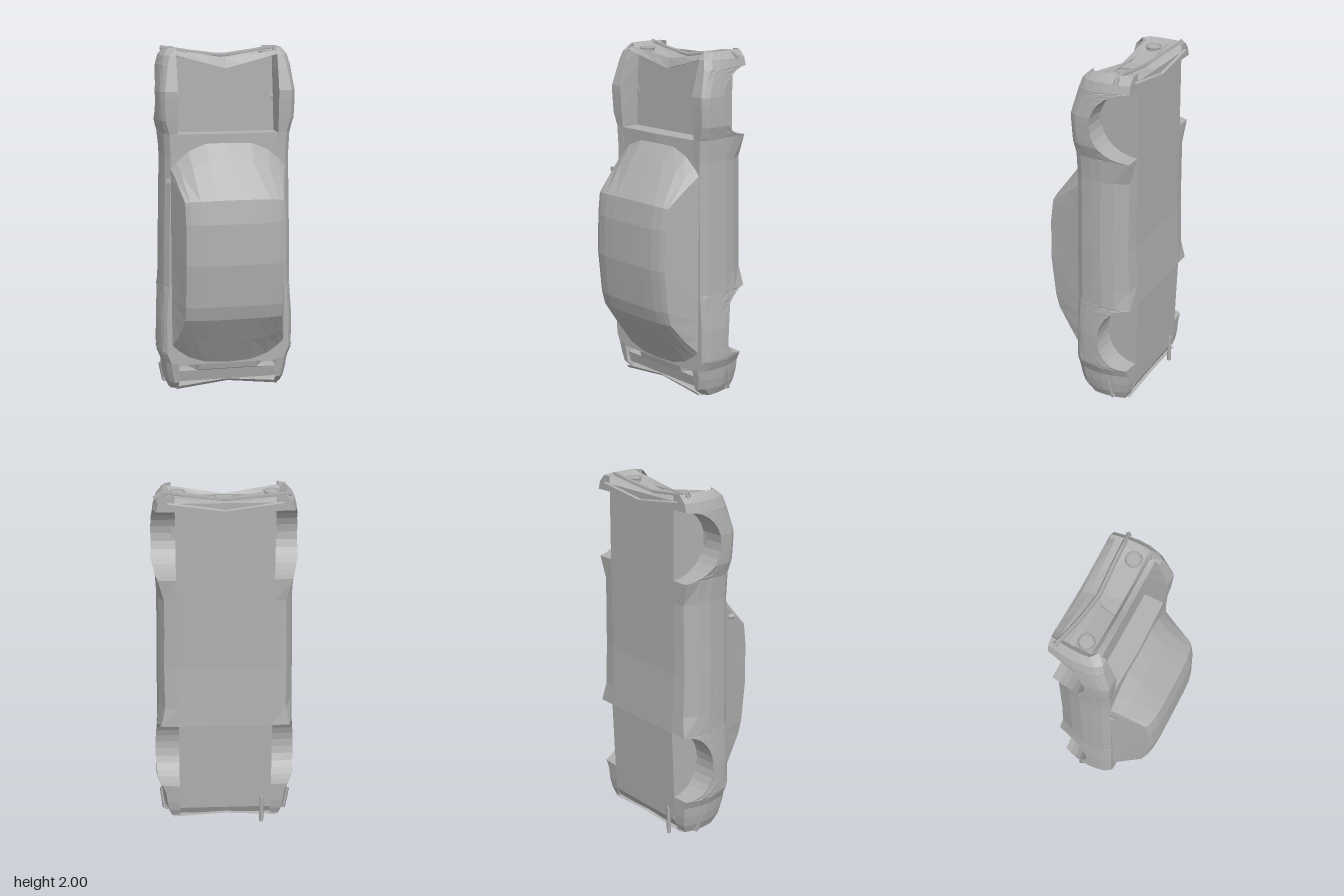
import * as THREE from 'three';

const grey = new THREE.MeshStandardMaterial({ color: 0xb0b0b0, side: THREE.DoubleSide });
grey.name = 'bare grey';

// linear lookup in a list of [key, value] pairs with rising keys
function look(table, k) {
  if (k <= table[0][0]) return table[0][1];
  for (let i = 1; i < table.length; i++) {
    const [a, va] = table[i - 1], [b, vb] = table[i];
    if (k <= b) return va + (vb - va) * (k - a) / (b - a);
  }
  return table[table.length - 1][1];
}

// faceted surface through rows of [x, y, z] points
function grid(rows) {
  const pos = [];
  for (let i = 0; i + 1 < rows.length; i++) {
    for (let j = 0; j + 1 < rows[i].length; j++) {
      const a = rows[i][j], b = rows[i][j + 1], c = rows[i + 1][j + 1], d = rows[i + 1][j];
      pos.push(...a, ...b, ...c, ...a, ...c, ...d);
    }
  }
  const g = new THREE.BufferGeometry();
  g.setAttribute('position', new THREE.Float32BufferAttribute(pos, 3));
  g.computeVertexNormals();
  return g;
}

// the body lies along y, nose up, with its roof towards +z
const SHOULDER = [[0.03, -0.02], [0.08, 0.03], [0.2, 0.05], [1.5, 0.05], [1.6, 0.06], [1.75, 0.07], [1.88, 0.035], [1.95, 0.015], [1.99, -0.025]];
const WIDTH = [[0.03, 0.335], [0.1, 0.365], [0.2, 0.375], [0.26, 0.4], [0.45, 0.4], [0.65, 0.385], [1.0, 0.38],
  [1.2, 0.375], [1.5, 0.37], [1.6, 0.4], [1.75, 0.402], [1.9, 0.38], [1.95, 0.365], [1.99, 0.328]];
const BELLY = [[0.03, -0.24], [0.1, -0.265], [0.65, -0.285], [1.0, -0.27], [1.5, -0.272], [1.95, -0.27]];
const SILL_TUCK = [[0.26, 0.02], [0.5, 0], [0.63, 0], [0.76, 0.03], [1.4, 0.03], [1.53, 0]];
const ARCHES = [{ y: 0.45, r: 0.2, h: 0.18 }, { y: 1.715, r: 0.19, h: 0.215 }];
const INNER = 0.262;
const DECK = 0.285;
const BAY_FLOOR = -0.06;

const archRise = (a, y) => a.h * Math.sqrt(Math.max(0, 1 - ((y - a.y) / a.r) ** 2));
const lowEdge = (y) => look(BELLY, y) + ARCHES.reduce((s, a) => s + archRise(a, y), 0);

// half section from the deck edge over the shoulder to the wheel well or belly
function section(y, side) {
  const top = look(SHOULDER, y), w = look(WIDTH, y), low = lowEdge(y), tuck = look(SILL_TUCK, y);
  const profile = [[-0.29, w - 0.022 - tuck], [-0.2, w - 0.006 - tuck * 0.3], [-0.11, w], [-0.04, w - 0.008],
    [Math.max(top - 0.03, -0.035), w - 0.02], [top, w - 0.045]];
  const pts = [[Math.min(DECK, w - 0.046), top], [w - 0.045, top]];
  [0.12, 0.3, 0.5, 0.72, 1].forEach((t) => {
    const z = top + (low - top) * t;
    pts.push([look(profile, z), t === 1 ? z + tuck * 0.4 : z]);
  });
  pts.push([INNER, low]);
  return pts.map(([x, z]) => [x * side, y, z]);
}

function stations() {
  const ys = [0.03, 0.08, 0.14, 0.2, 0.76, 1.0, 1.2, 1.4, 1.95, 1.99];
  for (const a of ARCHES) for (let i = 0; i <= 14; i++) ys.push(a.y - a.r * Math.cos(Math.PI * i / 14));
  return ys.sort((a, b) => a - b);
}

export function createModel() {
  const car = new THREE.Group();
  car.name = 'wreckedCarBody';
  const add = (name, geometry, x = 0, y = 0, z = 0) => {
    const m = new THREE.Mesh(geometry, grey);
    m.name = name;
    m.position.set(x, y, z);
    car.add(m);
    return m;
  };

  for (const side of [1, -1]) {
    const label = side > 0 ? 'left' : 'right';
    // fender, door and wheel-well skin
    const rows = stations().map((y) => section(y, side));
    if (side < 0) rows.reverse();
    add(label + 'BodySide', grid(rows));
    // closed ends of the fenders
    for (const y of [0.03, 1.99]) {
      const s = section(y, side);
      const flat = s.map((p) => [side * Math.min(Math.abs(p[0]), 0.295), p[1] + (y > 1 ? -0.03 : 0.01), p[2]]);
      add(label + (y > 1 ? 'FrontCorner' : 'RearCorner'), grid((y > 1) === (side > 0) ? [flat, s] : [s, flat]));
    }
    // inner walls of the wheel wells
    for (const a of ARCHES) {
      const top = [], bottom = [];
      for (let i = 0; i <= 14; i++) {
        const y = a.y - a.r * Math.cos(Math.PI * i / 14);
        bottom.push([INNER * side, y, look(BELLY, y)]);
        top.push([INNER * side, y, lowEdge(y)]);
      }
      add(label + 'WheelWellWall', grid(side > 0 ? [top, bottom] : [bottom, top]));
    }
    // engine bay side wall
    const ys = [1.52, 1.6, 1.75, 1.88, 1.95], x = DECK * side;
    const bayWall = [ys.map((y) => [x, y, look(SHOULDER, y)]), ys.map((y) => [x * (1.52 / y) ** 0.2, y, BAY_FLOOR])];
    add(label + 'BayWall', grid(side > 0 ? bayWall.reverse() : bayWall));
    // headlight with its rim
    add(label + 'Headlight', new THREE.CylinderGeometry(0.04, 0.04, 0.03, 12), 0.25 * side, 1.947, -0.11);
    const rim = add(label + 'HeadlightRim', new THREE.TorusGeometry(0.041, 0.005, 4, 12), 0.25 * side, 1.962, -0.11);
    rim.rotation.x = Math.PI / 2;
  }

  // cabin rows bow across the car: [y at centre, y at edge, height at centre, height at edge, half width]
  const cabin = [[1.475, 1.33, 0.055, 0.05, 0.324], [1.38, 1.28, 0.128, 0.11, 0.308], [1.18, 1.17, 0.266, 0.238, 0.278],
    [1.05, 1.05, 0.286, 0.255, 0.275], [0.82, 0.82, 0.29, 0.26, 0.275], [0.58, 0.58, 0.262, 0.234, 0.276],
    [0.5, 0.5, 0.238, 0.212, 0.276], [0.35, 0.39, 0.146, 0.125, 0.298], [0.195, 0.31, 0.05, 0.05, 0.324]];
  const bow = [1, 0.9, 0.7, 0.4, 0, -0.4, -0.7, -0.9, -1];
  add('cabin', grid(cabin.map(([yc, ye, zc, ze, w]) => {
    const roof = bow.map((t) => [-w * t, yc + (ye - yc) * Math.abs(t) ** 3, zc + (ze - zc) * Math.abs(t) ** 5]);
    return [[-0.328, ye, 0.045], ...roof, [0.328, ye, 0.045]];
  })));

  // decks, firewall, bay floor and belly
  const across = (y, z, w, crown = 0) => [[-w, y, z], [0, y, z + crown], [w, y, z]];
  add('deck', grid([across(1.52, 0.05, DECK, 0.01), across(0.19, 0.05, DECK)]));
  add('firewall', grid([across(1.52, BAY_FLOOR, DECK), across(1.52, 0.05, DECK, 0.01)]));
  add('bayFloor', grid([across(1.93, BAY_FLOOR, DECK), across(1.52, BAY_FLOOR, DECK)]));
  add('belly', grid(BELLY.map(([y, z]) => across(Math.max(y, 0.05), z, INNER))));

  // pushed-in nose: [y at centre, extra y at the corners, z at centre, extra z at the corners]
  const cols = [-0.3, -0.22, -0.1, 0, 0.1, 0.22, 0.3];
  const bent = (list) => grid(list.map(([y, dy, z, dz]) => cols.map((x) => {
    const t = Math.abs(x) / 0.3;
    return [x, y + dy * t, z + dz * t];
  })));
  add('nosePanel', bent([[1.88, 0.08, -0.14, 0.05], [1.875, 0.08, -0.025, 0.015], [1.93, 0.045, -0.045, 0.01], [1.905, 0.055, -0.06, 0],
    [1.905, 0.055, -0.155, 0], [1.935, 0.04, -0.18, 0], [1.925, 0.05, -0.23, -0.01], [1.91, 0.04, -0.285, 0.005]].reverse()));

  // grille centrepiece
  const shield = new THREE.Shape();
  shield.moveTo(-0.048, -0.06);
  shield.lineTo(-0.03, -0.145);
  shield.quadraticCurveTo(0, -0.185, 0.03, -0.145);
  shield.lineTo(0.048, -0.06);
  const grille = add('grilleCentre', new THREE.ExtrudeGeometry(shield, { depth: 0.03, bevelEnabled: false, curveSegments: 4 }), 0, 1.925, 0);
  grille.rotation.x = Math.PI / 2;

  // bent bumpers
  const bar = (name, pts, r) => {
    const path = new THREE.CurvePath();
    for (let i = 1; i < pts.length; i++) {
      path.add(new THREE.LineCurve3(new THREE.Vector3(...pts[i - 1]), new THREE.Vector3(...pts[i])));
    }
    add(name, new THREE.TubeGeometry(path, 12, r, 4));
  };
  bar('frontBumper', [[-0.34, 1.985, -0.235], [-0.18, 1.96, -0.2], [0, 1.938, -0.178], [0.2, 1.965, -0.188], [0.31, 1.986, -0.19], [0.37, 1.955, -0.198]], 0.013);
  bar('rearBumper', [[-0.35, 0.04, -0.17], [-0.15, 0.06, -0.2], [0.05, 0.07, -0.2], [0.2, 0.055, -0.19], [0.35, 0.05, -0.17]], 0.013);
  bar('leftBumperEnd', [[0.37, 0.17, -0.145], [0.355, 0.05, -0.175]], 0.011);
  bar('rightBumperEnd', [[-0.37, 0.15, -0.15], [-0.345, 0.035, -0.18]], 0.011);

  // open boot trough with deep corners, and the tail panel
  const trunk = [[0.19, () => 0.05], [0.188, (x) => (Math.abs(x) > 0.18 ? -0.05 : 0.035)],
    [0.15, (x) => (Math.abs(x) > 0.18 ? -0.05 : 0.025)], [0.145, () => 0.02], [0.08, () => 0.005]];
  add('bootTrough', grid(trunk.map(([y, z]) => [-DECK, -0.22, -0.17, 0.17, 0.22, DECK].map((x) => [x, y, z(x)]))));
  add('tailPanel', bent([[0.085, -0.03, 0.025, 0], [0.07, -0.035, 0.01, 0], [0.08, -0.03, -0.08, 0], [0.065, -0.03, -0.17, 0],
    [0.06, -0.025, -0.265, 0.01]]));

  // exhaust pipe and door mirror
  add('exhaustPipe', new THREE.CylinderGeometry(0.012, 0.012, 0.17, 8), -0.21, 0.085, -0.265);
  const mirror = add('doorMirror', new THREE.CylinderGeometry(0.016, 0.008, 0.035, 8), -0.345, 1.27, 0.068);
  mirror.rotation.x = Math.PI / 2;

  return car;
}
